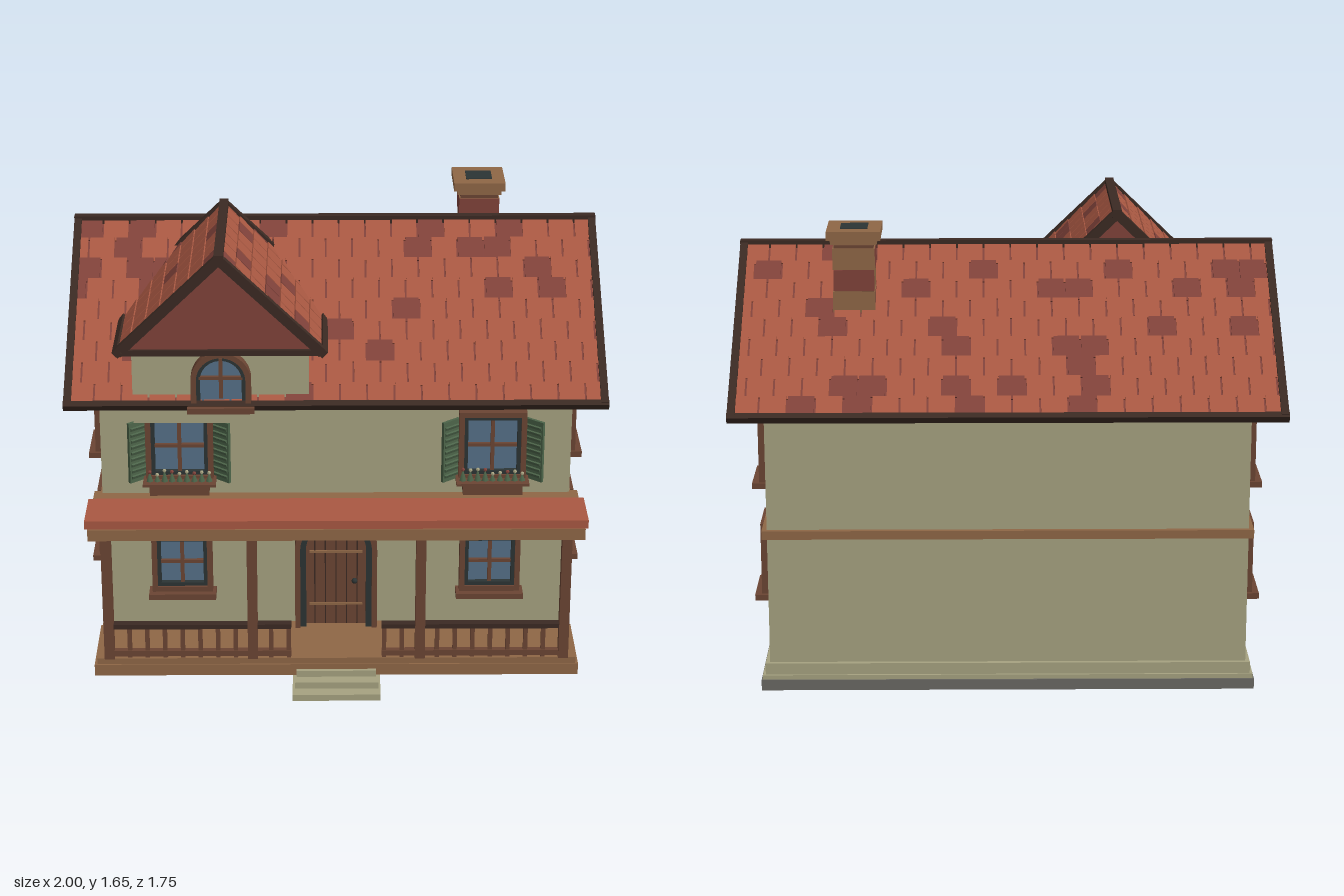
import * as THREE from 'three';
import { mergeGeometries } from 'three/addons/utils/BufferGeometryUtils.js';

const mat = (name, color) => Object.assign(new THREE.MeshStandardMaterial({ color }), { name });
const M = {
  tile: mat('roof tile red', 0xa95842), brick: mat('dark red', 0x80423a),
  wall: mat('wall plaster', 0xa6a281), wood: mat('light wood', 0x8f6746),
  brown: mat('brown wood', 0x6b4533), trim: mat('dark trim', 0x3b2a23),
  green: mat('shutter green', 0x4c6449), glass: mat('window glass', 0x557088),
  dark: mat('dark frame', 0x2c3434), stone: mat('foundation stone', 0x6a6963),
};

function add(parent, name, geo, material, x = 0, y = 0, z = 0) {
  const mesh = new THREE.Mesh(geo, material);
  mesh.name = name;
  mesh.position.set(x, y, z);
  parent.add(mesh);
  return mesh;
}
const box = (parent, name, m, w, h, d, x = 0, y = 0, z = 0) =>
  add(parent, name, new THREE.BoxGeometry(w, h, d), m, x, y, z);
// Box given by its limits on each axis
const span = (parent, name, m, x0, x1, y0, y1, z0, z1) =>
  box(parent, name, m, x1 - x0, y1 - y0, z1 - z0, (x0 + x1) / 2, (y0 + y1) / 2, (z0 + z1) / 2);
function group(parent, name, x = 0, y = 0, z = 0) {
  const g = new THREE.Group();
  g.name = name;
  g.position.set(x, y, z);
  parent.add(g);
  return g;
}
const extrude = (shape, depth) =>
  new THREE.ExtrudeGeometry(shape, { depth, bevelEnabled: false, curveSegments: 12 });

// Opening outline: rectangle, or round-headed when arched; inset shrinks it
function outline(w, h, arched, inset, C = THREE.Shape) {
  const s = new C(), r = w / 2 - inset, y0 = arched ? 0 : inset;
  s.moveTo(-r, y0).lineTo(r, y0);
  if (arched) s.lineTo(r, h - w / 2).absarc(0, h - w / 2, r, 0, Math.PI, false);
  else s.lineTo(r, h - inset).lineTo(-r, h - inset);
  s.closePath();
  return s;
}
function frame(parent, name, m, w, h, arched, a, b, depth) {
  const s = outline(w, h, arched, a);
  s.holes.push(outline(w, h, arched, b, THREE.Path));
  return add(parent, name, extrude(s, depth), m);
}

let seed = 7;
const random = () => (seed = (seed * 16807) % 2147483647) / 2147483647;

// Window facing +z, origin at the bottom centre on the wall
function makeWindow(parent, name, w, h, { arched = false, depth = 0.05, sill = true } = {}) {
  const g = group(parent, name);
  frame(g, 'windowFrame', M.brown, w, h, arched, 0, 0.02, depth);
  frame(g, 'innerFrame', M.dark, w, h, arched, 0.02, 0.034, depth - 0.01);
  add(g, 'glass', extrude(outline(w, h, arched, 0.03), 0.008), M.glass, 0, 0, 0.012);
  box(g, 'mullion', M.brown, 0.014, h - 0.05, 0.02, 0, h / 2, 0.026);
  const bars = arched ? [0.5] : [0.36, 0.68];
  for (const t of w < 0.21 ? bars : [0.5]) box(g, 'glazingBar', M.brown, w - 0.06, 0.012, 0.018, 0, h * t, 0.026);
  if (sill) box(g, 'sill', M.brown, w + 0.025, 0.022, 0.075, 0, -0.011, 0.0375);
  return g;
}

// Gable roof along x, base at y = 0, with shingles and dark edge boards
function makeRoof(parent, name, L, half, H, rows, tileW) {
  const g = group(parent, name);
  const tri = new THREE.Shape().moveTo(-half, 0).lineTo(half, 0).lineTo(0, H).closePath();
  add(g, 'roofBody', extrude(tri, L).translate(0, 0, -L / 2).rotateY(Math.PI / 2), M.brick);
  const len = Math.hypot(half, H), a = Math.atan2(H, half), rowH = len / rows;
  for (const turn of [0, Math.PI]) {
    const side = group(g, 'roofSide');
    side.rotation.y = turn;
    const slope = group(side, 'slope', 0, 0, half);
    slope.rotation.x = a - Math.PI / 2;
    const sets = [[], []];
    for (let r = 0; r < rows; r++) {
      for (let x = -L / 2 - (r % 2) * tileW / 2; x < L / 2 - 0.01; x += tileW) {
        const x0 = Math.max(x, -L / 2), x1 = Math.min(x + tileW - 0.007, L / 2);
        if (x1 - x0 < 0.01) continue;
        const drop = random() * 0.012;
        const t = new THREE.BoxGeometry(x1 - x0, rowH + drop, 0.008).rotateX(0.07);
        sets[random() < 0.16 ? 1 : 0].push(t.translate((x0 + x1) / 2, (r + 0.5) * rowH - drop / 2, 0.005));
      }
    }
    add(slope, 'shingles', mergeGeometries(sets[0]), M.tile);
    if (sets[1].length) add(slope, 'darkShingles', mergeGeometries(sets[1]), M.brick);
    box(slope, 'eaveBoard', M.trim, L + 0.03, 0.024, 0.03, 0, 0, 0.002);
    for (const s of [-1, 1]) {
      box(slope, 'rakeBoard', M.trim, 0.028, len, 0.036, s * L / 2, len / 2, 0);
    }
  }
  box(g, 'ridgeBoard', M.trim, L + 0.03, 0.032, 0.034, 0, H + 0.002, 0);
  for (const s of [-1, 1]) box(g, 'gableBaseBoard', M.trim, 0.026, 0.022, half * 2, s * L / 2, 0.002, 0);
  return g;
}

// Upper window dressing: half-open louvred shutters and a planted box
function dressWindow(g, w) {
  for (const s of [-1, 1]) {
    const sh = group(g, 'shutter', s * w / 2, 0, 0.008);
    sh.rotation.y = -s * 0.7;
    box(sh, 'shutterPanel', M.green, 0.08, 0.24, 0.012, s * 0.04, 0.115, 0);
    for (let i = 0; i < 9; i++) {
      box(sh, 'louvre', M.green, 0.066, 0.012, 0.022, s * 0.04, 0.02 + i * 0.024, 0).rotation.x = 0.4;
    }
  }
  box(g, 'flowerBox', M.brown, 0.22, 0.04, 0.08, 0, -0.018, 0.06);
  box(g, 'flowerBoxRim', M.brown, 0.27, 0.01, 0.09, 0, 0.003, 0.06);
  for (let i = 0; i < 9; i++) {
    const x = -0.11 + i * 0.0275, h = 0.035 + random() * 0.02;
    add(g, 'leaves', new THREE.ConeGeometry(0.016, h, 5), M.green, x, h / 2, 0.07);
    add(g, 'blossom', new THREE.IcosahedronGeometry(0.008, 0), i % 3 ? M.wall : M.brick, x, h, 0.075);
  }
}

export function createModel() {
  const house = new THREE.Group();
  house.name = 'house';

  // Foundation and walls
  span(house, 'foundation', M.stone, -0.905, 0.905, 0, 0.04, -0.795, 0.63);
  span(house, 'plinth', M.wall, -0.9, 0.9, 0.04, 0.057, -0.79, 0.475);
  span(house, 'baseboard', M.wall, -0.89, 0.89, 0.057, 0.1, -0.782, 0.465);
  span(house, 'walls', M.wall, -0.874, 0.874, 0.09, 1.06, -0.766, 0.466);
  span(house, 'floorBand', M.wood, -0.892, 0.892, 0.58, 0.612, -0.784, 0.476);

  // Main roof
  makeRoof(house, 'mainRoof', 1.965, 0.705, 0.478, 9, 0.1).position.set(0, 1.057, -0.15);

  // Dormer
  span(house, 'dormerWalls', M.wall, -0.745, -0.1, 0.975, 1.28, 0, 0.524);
  const dormer = makeRoof(house, 'dormerRoof', 0.62, 0.37, 0.357, 7, 0.1);
  dormer.rotation.y = Math.PI / 2;
  dormer.position.set(-0.42, 1.272, 0.26);
  makeWindow(house, 'dormerWindow', 0.22, 0.205, { arched: true, depth: 0.045 }).position.set(-0.42, 1.062, 0.52);

  // Chimney with mixed brick courses
  const chimney = group(house, 'chimney', 0.56, 0, -0.352);
  for (let i = 0; i < 5; i++) {
    const y = 1.22 + i * 0.08, [a, b] = i % 2 ? [M.brick, M.wood] : [M.wood, M.brick];
    const inset = i % 2 ? 0.006 : 0;
    box(chimney, 'brickCourse', [i > 2 ? M.wood : a, b, a, a, i === 4 ? M.brick : b, a],
      0.155 - inset, 0.078, 0.172 - inset, 0, y, 0);
  }
  box(chimney, 'mortarCore', M.brown, 0.145, 0.4, 0.16, 0, 1.39, 0);
  box(chimney, 'chimneyCollar', M.wood, 0.17, 0.02, 0.185, 0, 1.605, 0);
  box(chimney, 'chimneyCap', M.wood, 0.198, 0.032, 0.208, 0, 1.629, 0);
  box(chimney, 'flueOpening', M.dark, 0.1, 0.006, 0.1, 0, 1.645, 0);

  // Side windows on both floors
  for (const s of [-1, 1]) {
    for (const z of [0.09, -0.415]) {
      for (const y of [0.275, 0.713]) {
        const w = makeWindow(house, 'sideWindow', 0.198, 0.275);
        w.position.set(s * 0.87, y, z);
        w.rotation.y = s * Math.PI / 2;
      }
    }
    // Front windows
    makeWindow(house, 'lowerFrontWindow', 0.228, 0.24).position.set(s * 0.58, 0.275, 0.463);
    const up = makeWindow(house, 'upperFrontWindow', 0.25, 0.27, { sill: false });
    up.position.set(s * 0.58, 0.737, 0.463);
    dressWindow(up, 0.25);
  }

  // Arched front door
  const door = group(house, 'frontDoor', 0, 0.12, 0.463);
  frame(door, 'doorSurround', M.brown, 0.31, 0.485, true, 0, 0.02, 0.06);
  frame(door, 'doorArch', M.dark, 0.31, 0.485, true, 0.02, 0.042, 0.05);
  add(door, 'doorPanel', extrude(outline(0.31, 0.485, true, 0.04), 0.02), M.brown);
  for (let i = -2; i <= 2; i++) box(door, 'plankGap', M.trim, 0.005, 0.41, 0.003, i * 0.04, 0.21, 0.021);
  for (const y of [0.09, 0.31]) box(door, 'hingeStrap', M.wood, 0.2, 0.009, 0.006, 0, y, 0.024);
  add(door, 'doorKnob', new THREE.SphereGeometry(0.011, 10, 8), M.dark, 0.07, 0.19, 0.032);

  // Porch floor, beam and roof slab
  span(house, 'porchFloor', M.wood, -0.9, 0.9, 0.055, 0.1, 0.45, 0.765);
  span(house, 'porchDeck', M.wood, -0.89, 0.89, 0.1, 0.124, 0.45, 0.76);
  span(house, 'porchBeam', M.wood, -0.905, 0.905, 0.622, 0.666, 0.45, 0.788);
  span(house, 'porchRoof', M.tile, -0.915, 0.915, 0.668, 0.7, 0.59, 0.786);
  for (const x of [-0.843, -0.31, 0.31, 0.843]) {
    box(house, 'porchPost', M.brown, 0.037, 0.5, 0.037, x, 0.373, 0.747);
  }

  // Railings either side of the steps
  for (const s of [-1, 1]) {
    const rail = group(house, 'railing', s * 0.505, 0, 0.747);
    box(rail, 'topRail', M.trim, 0.675, 0.018, 0.032, 0, 0.256, 0);
    box(rail, 'bottomRail', M.brown, 0.675, 0.022, 0.024, 0, 0.143, 0);
    for (let i = 0; i <= 10; i++) {
      box(rail, 'baluster', M.brown, 0.016, 0.14, 0.016, -0.328 + i * 0.0656, 0.19, 0);
    }
  }

  // Entry steps
  [[0.163, 0.005, 0.872], [0.155, 0.03, 0.825], [0.148, 0.055, 0.78]].forEach(([x, y, z]) =>
    span(house, 'step', M.wall, -x, x, y, y + 0.025, 0.697, z));

  return house;
}
